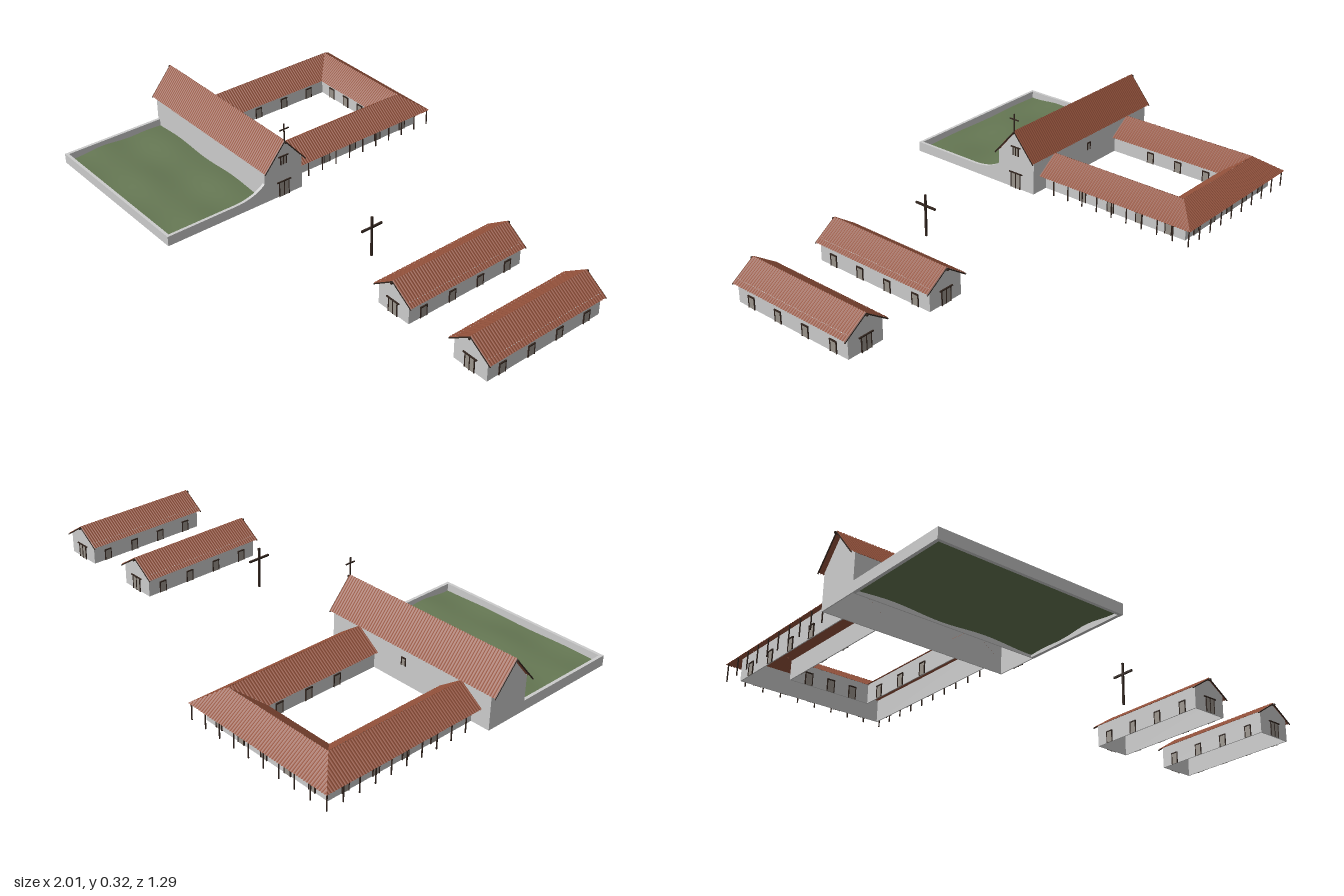
import * as THREE from 'three';

const paint = (color) => new THREE.MeshStandardMaterial({ color, side: THREE.DoubleSide });
const plaster = paint(0xcccccc), tile = paint(0x91503a), wood = paint(0x33261f);
const panel = paint(0x9a948c), grass = paint(0x657753);

function add(parent, name, geometry, material) {
  const mesh = new THREE.Mesh(geometry, material);
  mesh.name = name;
  parent.add(mesh);
  return mesh;
}

// Box given by its two opposite corners
function block(parent, name, material, [x0, y0, z0], [x1, y1, z1]) {
  const m = add(parent, name, new THREE.BoxGeometry(x1 - x0, y1 - y0, z1 - z0), material);
  m.position.set((x0 + x1) / 2, (y0 + y1) / 2, (z0 + z1) / 2);
  return m;
}

function group(parent, name) {
  const g = new THREE.Group();
  g.name = name;
  parent.add(g);
  return g;
}

// Corrugated tile slope along an axis. eave and ridge are [across, height, start, end];
// unequal ends give mitred hips and valleys.
function slope(parent, axis, eave, ridge) {
  const s0 = Math.min(eave[2], ridge[2]), s1 = Math.max(eave[3], ridge[3]);
  const n = Math.round((s1 - s0) / 0.011) * 6, pos = [], index = [];
  for (let i = 0; i <= n; i++) {
    const s = s0 + (s1 - s0) * i / n;
    let lo = 0, hi = 1;
    for (const [e, r] of [[eave[2], ridge[2]], [-eave[3], -ridge[3]]]) {
      const t = e < 0 && r < 0 && e === -eave[3] && r === -ridge[3] ? -s : s;
      const q = e === eave[2] && r === ridge[2] ? s : -s;
      const f = r === e ? 0 : ((t === q ? t : q) - e) / (r - e);
      if (r > e) hi = Math.min(hi, f);
      if (r < e) lo = Math.max(lo, f);
    }
    const bump = 0.003 * Math.abs(Math.sin(i * Math.PI / 6));
    for (const v of [lo, Math.max(lo, hi)]) {
      const a = eave[0] + (ridge[0] - eave[0]) * v;
      const y = eave[1] + (ridge[1] - eave[1]) * v + bump;
      pos.push(...(axis === 'x' ? [s, y, a] : [a, y, s]));
    }
    const k = i * 2;
    if (i < n) index.push(k, k + 1, k + 2, k + 1, k + 3, k + 2);
  }
  // Keep the top side facing up
  const up = (axis === 'x') === (ridge[0] > eave[0]);
  if (up) index.reverse();
  const g = new THREE.BufferGeometry();
  g.setAttribute('position', new THREE.Float32BufferAttribute(pos, 3));
  g.setIndex(index);
  g.computeVertexNormals();
  add(parent, 'tiledSlope', g, tile);
}

// Framed door or window, facing +z before turning
function opening(parent, name, x, y, z, turn, w, h, leaves = 1) {
  const g = group(parent, name);
  g.position.set(x, y, z);
  g.rotation.y = turn;
  block(g, 'panel', panel, [-w / 2, 0, -0.001], [w / 2, h, 0.002]);
  for (let i = 0; i <= leaves; i++) {
    const px = -w / 2 + w * i / leaves;
    block(g, 'jamb', wood, [px - 0.0015, 0, 0], [px + 0.0015, h, 0.004]);
  }
  const over = leaves > 1 ? 0.01 : 0.0015;
  block(g, 'lintel', wood, [-w / 2 - over, h - 0.002, 0], [w / 2 + over, h + 0.002, 0.005]);
}

// Floorless hall along z, centred on the origin: walls, gables, roof, beams
function hall(parent, name, o) {
  const g = group(parent, name), { w, l, wallH, eaveW, eaveY, ridgeY, roof } = o, t = 0.004;
  for (const s of [-1, 1]) {
    const x = s * w / 2;
    block(g, 'sideWall', plaster, [x - t / 2, 0, -l / 2], [x + t / 2, wallH, l / 2]);
    const end = new THREE.Shape([[-w / 2, 0], [w / 2, 0], [w / 2, wallH], [0, ridgeY - 0.003], [-w / 2, wallH]]
      .map(([a, b]) => new THREE.Vector2(a, b)));
    add(g, 'gableWall', new THREE.ExtrudeGeometry(end, { depth: t, bevelEnabled: false }), plaster)
      .position.z = s * (l / 2 - t / 2) - t / 2;
    slope(g, 'z', [s * eaveW / 2, eaveY, roof[0], roof[1]], [0, ridgeY, roof[0], roof[1]]);
    // Bargeboards under the roof ends
    for (const z of roof) {
      const rise = ridgeY - eaveY, len = Math.hypot(eaveW / 2, rise);
      const b = add(g, 'bargeboard', new THREE.BoxGeometry(len, 0.004, 0.003), wood);
      b.position.set(s * eaveW / 4, (eaveY + ridgeY) / 2 - 0.003, z);
      b.rotation.z = -s * Math.atan2(rise, eaveW / 2);
    }
  }
  block(g, 'ridgeBeam', wood, [-0.003, ridgeY - 0.01, roof[0] - 0.008], [0.003, ridgeY - 0.004, roof[1] + 0.008]);
  return g;
}

function cross(parent, name, x, y0, y1, armY, z, half, r) {
  const g = group(parent, name);
  block(g, 'upright', wood, [x - r, y0, z - r], [x + r, y1, z + r]);
  block(g, 'arm', wood, [x - r, armY - r, z - half], [x + r, armY + r, z + half]);
}

export function createModel() {
  const model = new THREE.Group();
  model.name = 'mission';

  // Church, turned so its length runs along x
  const church = hall(model, 'church', {
    w: 0.17, l: 0.725, wallH: 0.139, eaveW: 0.19, eaveY: 0.133, ridgeY: 0.245, roof: [-0.382, 0.377],
  });
  church.rotation.y = Math.PI / 2;
  church.position.set(-0.6175, 0, 0.127);
  opening(church, 'mainDoor', 0, 0, 0.364, 0, 0.044, 0.065, 2);
  opening(church, 'gableWindow', 0, 0.138, 0.364, 0, 0.026, 0.036, 2);
  opening(church, 'backWindow', 0.0865, 0.07, 0.02, Math.PI / 2, 0.018, 0.03);
  cross(model, 'churchCross', -0.242, 0.235, 0.316, 0.293, 0.127, 0.021, 0.002);

  // Walled yard; the left wall sweeps up to the church
  const yard = group(model, 'yard');
  block(yard, 'frontWall', plaster, [-0.98, 0, 0.632], [-0.255, 0.04, 0.644]);
  block(yard, 'rightWall', plaster, [-0.98, 0, 0.21], [-0.968, 0.04, 0.632]);
  const sweep = new THREE.Shape();
  sweep.moveTo(0.21, 0);
  sweep.lineTo(0.632, 0);
  sweep.lineTo(0.632, 0.04);
  sweep.lineTo(0.35, 0.04);
  sweep.quadraticCurveTo(0.26, 0.04, 0.21, 0.085);
  const sweepWall = add(yard, 'leftWall', new THREE.ExtrudeGeometry(sweep, { depth: 0.012, bevelEnabled: false }), plaster);
  sweepWall.rotation.y = -Math.PI / 2;
  sweepWall.position.x = -0.255;
  const lawn = new THREE.PlaneGeometry(0.702, 0.422, 28, 18).rotateX(-Math.PI / 2).translate(-0.6175, 0, 0.421);
  const p = lawn.attributes.position;
  for (let i = 0; i < p.count; i++) {
    p.setY(i, 0.014 + 0.005 * Math.sin(p.getX(i) * 17) * Math.cos(p.getZ(i) * 13) + 0.003 * Math.sin(p.getZ(i) * 29));
  }
  lawn.computeVertexNormals();
  add(yard, 'lawn', lawn, grass);

  // Cloister: three wings round a court, joined to the church
  const cloister = group(model, 'cloister');
  const cx = -0.6175, front = 0.045, eY = 0.063, rY = 0.13, wallH = 0.084;
  for (const s of [-1, 1]) {
    const outer = cx + s * 0.327, ridge = cx + s * 0.2345, inner = cx + s * 0.142;
    slope(cloister, 'z', [outer, eY, -0.645, front], [ridge, rY, -0.5525, front]);
    slope(cloister, 'z', [inner, eY, -0.46, front], [ridge, rY, -0.5525, front]);
    const wo = cx + s * 0.285, wi = cx + s * 0.16;
    block(cloister, 'outerWall', plaster, [wo - 0.002, 0, -0.602], [wo + 0.002, wallH, 0.042]);
    block(cloister, 'innerWall', plaster, [wi - 0.002, 0, -0.48], [wi + 0.002, 0.073, 0.042]);
    for (const z of [-0.53, -0.4, -0.27, -0.14]) {
      opening(cloister, 'outerDoor', wo + s * 0.002, 0, z, s * Math.PI / 2, 0.028, 0.045);
      if (z > -0.46) opening(cloister, 'innerDoor', wi - s * 0.002, 0, z, -s * Math.PI / 2, 0.028, 0.045);
    }
    for (let i = 0; i < 10; i++) {
      const z = -0.637 + i * 0.068, x = cx + s * 0.32;
      block(cloister, 'post', wood, [x - 0.0018, 0, z - 0.0018], [x + 0.0018, eY + 0.004, z + 0.0018]);
    }
  }
  slope(cloister, 'x', [-0.645, eY, cx - 0.327, cx + 0.327], [-0.5525, rY, cx - 0.2345, cx + 0.2345]);
  slope(cloister, 'x', [-0.46, eY, cx - 0.142, cx + 0.142], [-0.5525, rY, cx - 0.2345, cx + 0.2345]);
  block(cloister, 'backWall', plaster, [cx - 0.285, 0, -0.602], [cx + 0.285, wallH, -0.598]);
  block(cloister, 'courtWall', plaster, [cx - 0.16, 0, -0.48], [cx + 0.16, 0.073, -0.476]);
  for (let i = -2; i <= 2; i++) {
    opening(cloister, 'backDoor', cx + i * 0.11, 0, -0.602, Math.PI, 0.028, 0.045);
    if (Math.abs(i) < 2) opening(cloister, 'courtDoor', cx + i * 0.09, 0, -0.476, 0, 0.028, 0.045);
  }
  for (let i = 1; i < 9; i++) {
    const x = cx - 0.32 + i * 0.64 / 9;
    block(cloister, 'post', wood, [x - 0.0018, 0, -0.6388], [x + 0.0018, eY + 0.004, -0.6352]);
  }

  // Two long houses
  for (const x of [0.542, 0.906]) {
    const house = hall(model, 'longHouse', {
      w: 0.146, l: 0.52, wallH: 0.089, eaveW: 0.186, eaveY: 0.075, ridgeY: 0.138, roof: [-0.267, 0.267],
    });
    house.position.set(x, 0, 0.019);
    for (const s of [-1, 1]) {
      opening(house, 'endDoor', 0, 0, s * 0.262, s > 0 ? 0 : Math.PI, 0.042, 0.058, 2);
      for (const z of [-0.195, -0.065, 0.065, 0.195]) {
        opening(house, 'sideDoor', s * 0.075, 0, z, s * Math.PI / 2, 0.028, 0.045);
      }
    }
  }

  // Standing cross in the plaza
  cross(model, 'plazaCross', 0.25, 0, 0.166, 0.122, 0.125, 0.047, 0.0035);
  return model;
}
